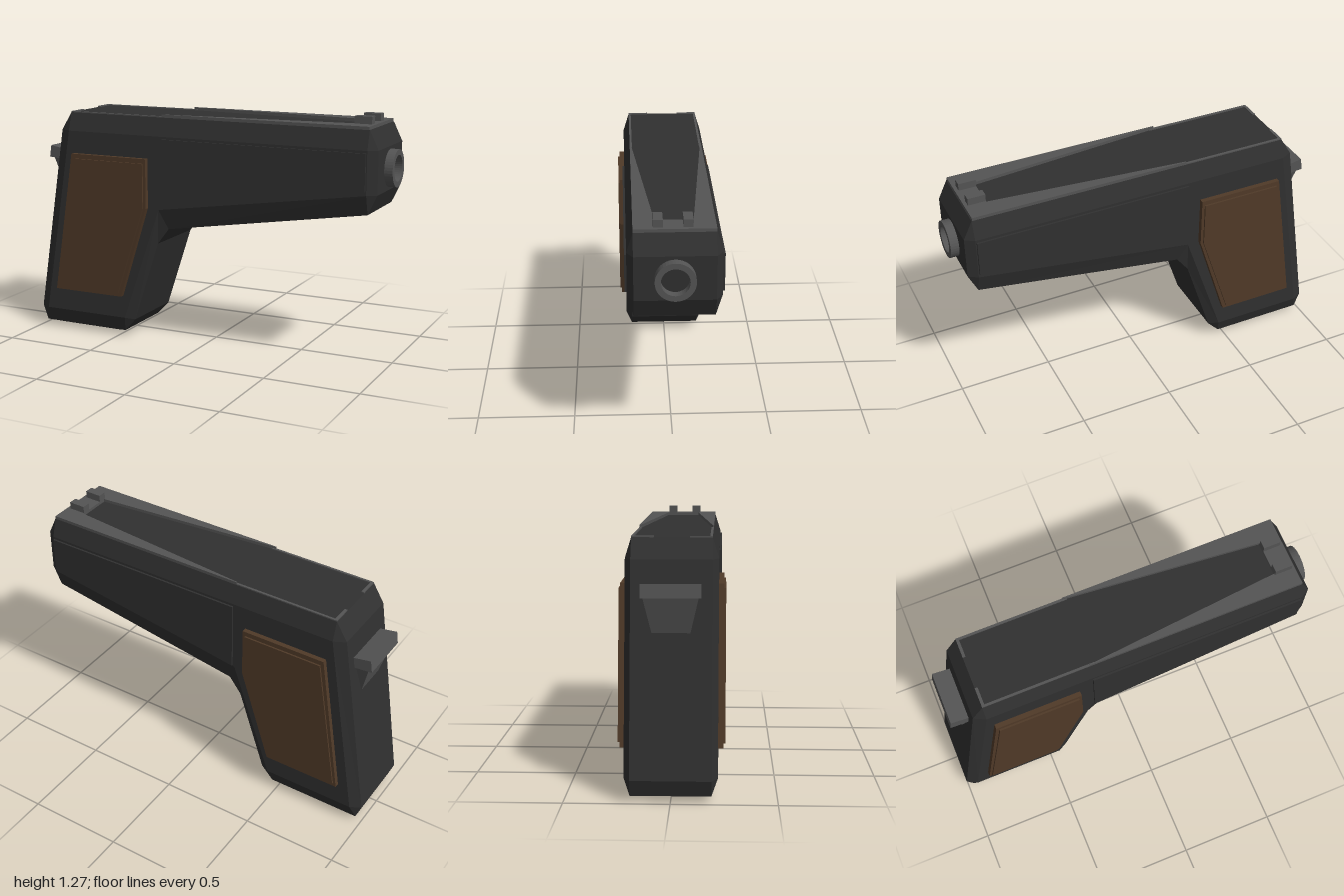
import * as THREE from 'three';
import { ConvexGeometry } from 'three/addons/geometries/ConvexGeometry.js';

const mat = (name, color, extra = {}) => {
  const m = new THREE.MeshStandardMaterial({ color, ...extra });
  m.name = name;
  return m;
};

export function createModel() {
  const black = mat('black', 0x303030);
  const steel = mat('steel', 0x545454);
  const brown = mat('brown', 0x503a28);
  const root = new THREE.Group();

  const add = (name, geo, material) => {
    const mesh = new THREE.Mesh(geo, material);
    mesh.name = name;
    root.add(mesh);
    return mesh;
  };
  const shapeOf = (pts) => new THREE.Shape(pts.map(([x, y]) => new THREE.Vector2(x, y)));
  const slab = (pts, depth) =>
    new THREE.ExtrudeGeometry(shapeOf(pts), { depth, bevelEnabled: false });
  const hull = (pts) => new ConvexGeometry(pts.map((p) => new THREE.Vector3(...p)));
  const bothSides = (pts) => pts.flatMap(([x, y, z]) => [[x, y, z], [x, y, -z]]);

  // Frame: outer outline joined to a smaller, wider side outline by chamfers
  const a = [-0.78, 1.12], b = [0.91, 1.12], c = [0.91, 0.9];
  const d = [-0.235, 0.73], e = [-0.45, 0.11], f = [-0.945, 0.11];
  const profile = [ // [outer point, matching side-face point], clockwise
    [[-0.78, 1.217], a], [[0.91, 1.217], b], [[0.957, 1.12], b], [[0.957, 0.9], c],
    [[0.91, 0.8], c], [[-0.19, 0.625], d], [[-0.255, 0.54], d], [[-0.4, 0.1], e],
    [[-0.465, 0.03], e], [[-0.97, 0.03], f], [[-1, 0.11], f], [[-0.84, 1.12], a],
  ];
  const pos = [];
  const quad = (p, q, r, s) => pos.push(...p, ...q, ...r, ...p, ...r, ...s);
  profile.forEach(([o, i], k) => {
    const [o2, i2] = profile[(k + 1) % profile.length];
    quad([...o, 0.19], [...o2, 0.19], [...o2, -0.19], [...o, -0.19]);
    quad([...i, 0.22], [...i2, 0.22], [...o2, 0.19], [...o, 0.19]);
    quad([...o, -0.19], [...o2, -0.19], [...i2, -0.22], [...i, -0.22]);
  });
  const side = [f, e, d, c, b, a]; // counter-clockwise
  const contour = side.map(([x, y]) => new THREE.Vector2(x, y));
  for (const t of THREE.ShapeUtils.triangulateShape(contour, [])) {
    const tri = t.map((k) => contour[k]);
    if (THREE.ShapeUtils.area(tri) < 0) tri.reverse();
    tri.forEach((p) => pos.push(p.x, p.y, 0.22));
    tri.reverse().forEach((p) => pos.push(p.x, p.y, -0.22));
  }
  // Flip any strip faces wound inward: the outline above runs clockwise
  const frame = new THREE.BufferGeometry();
  frame.setAttribute('position', new THREE.Float32BufferAttribute(pos, 3));
  frame.computeVertexNormals();
  add('frame', frame, black);

  // Tapered foot under the grip
  add('gripBase', hull(bothSides([
    [-0.97, 0.03, 0.19], [-0.465, 0.03, 0.19], [-0.86, 0, 0.11], [-0.56, 0, 0.11],
  ])), black);

  // Raised side panels and two-step wooden grips
  const panel = [[-0.225, 0.74], [0.905, 0.92], [0.905, 1.107], [-0.225, 1.107]];
  const grip = [[-0.87, 0.235], [-0.457, 0.235], [-0.297, 0.735], [-0.297, 1], [-0.752, 1]];
  const gripInset = [[-0.853, 0.255], [-0.472, 0.255], [-0.312, 0.735], [-0.312, 0.975], [-0.737, 0.975]];
  for (const s of [1, -1]) {
    const label = s > 0 ? 'Front' : 'Back';
    const place = (name, pts, from, to, material) => {
      add(name + label, slab(pts, to - from), material).position.z = s > 0 ? from : -to;
    };
    place('sidePanel', panel, 0.21, 0.23, black);
    place('gripPlate', grip, 0.21, 0.245, brown);
    place('gripInset', gripInset, 0.24, 0.254, brown);
  }

  // Top rails: tapering fork, thin rear strips and corner returns
  const flat = (name, pts, top, depth) => {
    add(name, slab(pts, depth).rotateX(Math.PI / 2), steel).position.y = top;
  };
  flat('topRail', [
    [-0.225, 0.19], [-0.225, 0.185], [0.8, 0.09], [0.8, -0.09],
    [-0.225, -0.185], [-0.225, -0.19], [0.908, -0.19], [0.908, 0.19],
  ], 1.233, 0.02);
  for (const s of [1, -1]) {
    flat('rearStrip', [
      [-0.78, 0.19 * s], [-0.2, 0.19 * s], [-0.2, 0.178 * s],
      [-0.765, 0.178 * s], [-0.765, 0.085 * s], [-0.78, 0.085 * s],
    ], 1.223, 0.012);
    // Sight posts
    const sight = add('sight', new THREE.BoxGeometry(0.09, 0.045, 0.045), steel);
    sight.position.set(0.845, 1.248, 0.007 + 0.069 * s);
  }

  // Muzzle ring
  const ring = new THREE.Shape().absarc(0, 0, 0.095, 0, Math.PI * 2);
  ring.holes.push(new THREE.Path().absarc(0, 0, 0.067, 0, Math.PI * 2, true));
  const muzzle = new THREE.ExtrudeGeometry(ring, { depth: 0.05, bevelEnabled: false, curveSegments: 20 });
  add('muzzle', muzzle.rotateY(Math.PI / 2), steel).position.set(0.95, 1.01, 0);

  // Hammer: wide thumb bar over a tapering spur
  add('hammerBar', hull(bothSides([
    [-0.95, 1.02, 0.14], [-0.84, 1.0, 0.14], [-0.96, 0.955, 0.14], [-0.84, 0.945, 0.14],
  ])), steel);
  add('hammerSpur', hull(bothSides([
    [-0.94, 0.96, 0.13], [-0.85, 0.96, 0.13], [-0.893, 0.785, 0.09], [-0.87, 0.785, 0.09],
  ])), steel);

  // Centre on x and z, stand on y = 0
  const box = new THREE.Box3().setFromObject(root);
  const mid = box.getCenter(new THREE.Vector3());
  root.children.forEach((m) => m.position.sub(new THREE.Vector3(mid.x, box.min.y, mid.z)));
  return root;
}
